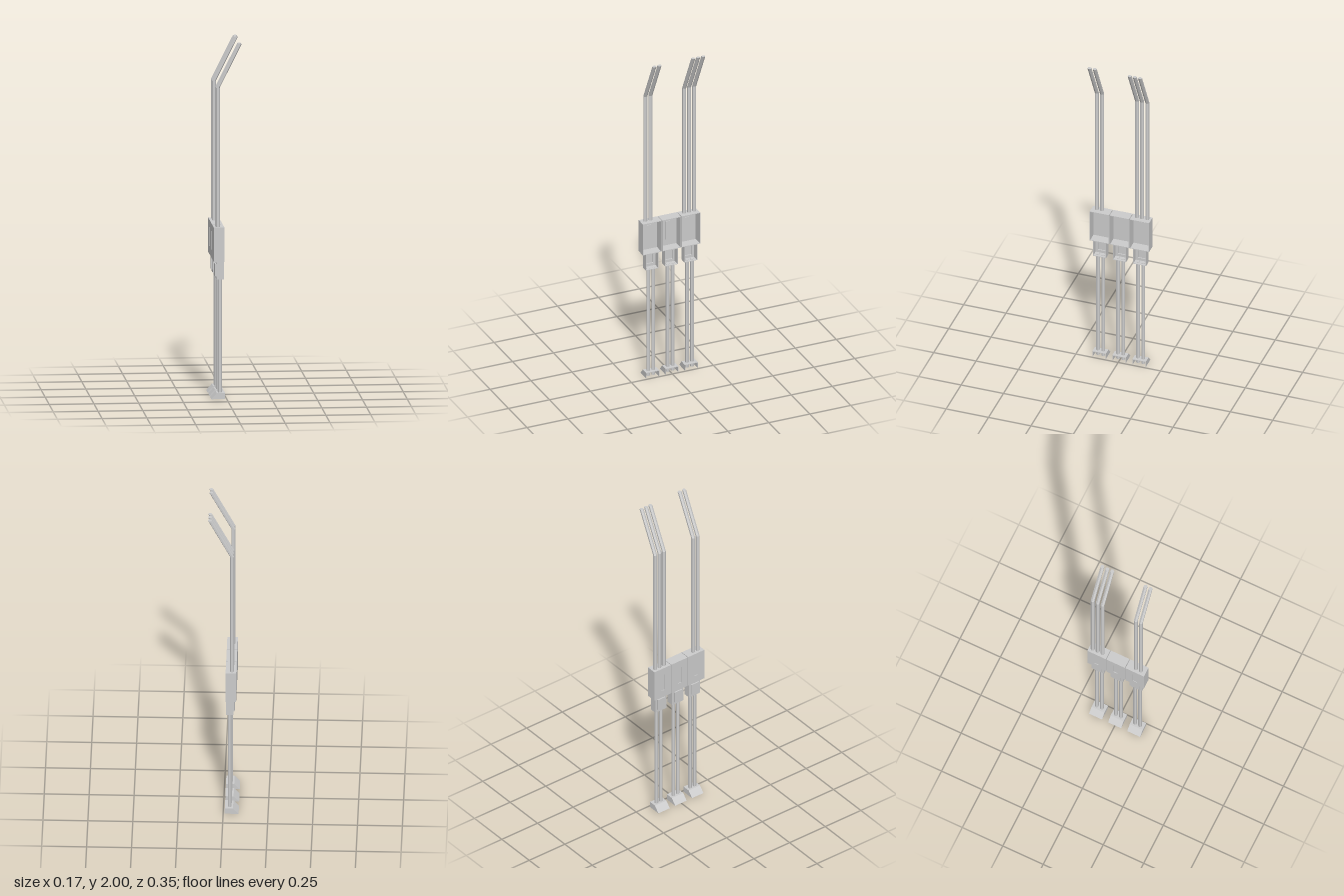
import * as THREE from 'three';

const mat = new THREE.MeshStandardMaterial({ color: 0xcccccc, flatShading: true, side: THREE.DoubleSide });
const T = 0.003; // sheet thickness

function add(parent, name, geo, x = 0, y = 0, z = 0) {
  const m = new THREE.Mesh(geo, mat);
  m.name = name;
  m.position.set(x, y, z);
  parent.add(m);
  return m;
}

function box(parent, name, x0, x1, y0, y1, z0, z1) {
  return add(parent, name, new THREE.BoxGeometry(x1 - x0, y1 - y0, z1 - z0),
    (x0 + x1) / 2, (y0 + y1) / 2, (z0 + z1) / 2);
}

function rect(Type, hw, y0, y1) {
  const s = new Type();
  s.moveTo(-hw, y0);
  s.lineTo(hw, y0);
  s.lineTo(hw, y1);
  s.lineTo(-hw, y1);
  s.closePath();
  return s;
}

// Sheet-metal tray, open towards +x, with an optional window in its back wall
function tray(name, x0, x1, y0, y1, hw, hole) {
  const g = new THREE.Group();
  g.name = name;
  const wall = rect(THREE.Shape, hw, y0, y1);
  if (hole) wall.holes.push(rect(THREE.Path, ...hole));
  const geo = new THREE.ExtrudeGeometry(wall, { depth: T, bevelEnabled: false });
  geo.rotateY(-Math.PI / 2);
  add(g, 'backWall', geo, x0 + T);
  box(g, 'topWall', x0 + T, x1, y1 - T, y1, -hw, hw);
  box(g, 'bottomWall', x0 + T, x1, y0, y0 + T, -hw, hw);
  for (const s of [-1, 1]) {
    const a = s * hw, b = s * (hw - T);
    box(g, 'sideWall', x0 + T, x1, y0 + T, y1 - T, Math.min(a, b), Math.max(a, b));
  }
  return g;
}

function prism(points, depth) {
  const shape = new THREE.Shape(points.map(p => new THREE.Vector2(...p)));
  return new THREE.ExtrudeGeometry(shape, { depth, bevelEnabled: false });
}

// Hollow foot with one sloping side, open below and towards +x
function foot() {
  const g = new THREE.Group();
  g.name = 'foot';
  const hw = 0.04, h = 0.035;
  const side = [[-0.086, 0], [-0.009, 0], [-0.009, h], [-0.055, h]];
  const cover = [[-0.086, 0], [-0.082, 0], [-0.0535, h - T], [-0.009, h - T], [-0.009, h], [-0.055, h]];
  add(g, 'footSide', prism(side, T), 0, 0, -hw);
  add(g, 'footSide', prism(side, T), 0, 0, hw - T);
  add(g, 'footCover', prism(cover, 2 * (hw - T)), 0, 0, -hw + T);
  return g;
}

// Six-sided vertical rod between two heights
function rod(parent, name, x, z, y0, y1, r = 0.0112) {
  const geo = new THREE.CylinderGeometry(r, r, y1 - y0, 6, 1, false, Math.PI / 2);
  add(parent, name, geo, x, (y0 + y1) / 2, z);
}

// Upper rod: three level rings, the top one shifted sideways
function bentRod(parent, z) {
  const geo = new THREE.CylinderGeometry(0.0115, 0.0115, 2, 6, 2, false, Math.PI / 2);
  const p = geo.attributes.position;
  const heights = [0.96, 1.755, 2];
  for (let i = 0; i < p.count; i++) {
    const ring = Math.round(p.getY(i)) + 1;
    p.setY(i, heights[ring]);
    if (ring === 2) p.setX(i, p.getX(i) + 0.123);
  }
  geo.computeVertexNormals();
  add(parent, 'upperRod', geo, -0.049, 0, z);
}

export function createModel() {
  const model = new THREE.Group();
  model.name = 'conduitStand';

  // Three units side by side
  for (const z of [0.116, -0.002, -0.12]) {
    const unit = new THREE.Group();
    unit.name = 'unit';
    unit.position.z = z;
    model.add(unit);

    // Main housing with a shallow slot in its back
    unit.add(tray('housing', -0.073, -0.014, 0.775, 0.97, 0.057, [0.013, 0.82, 0.925]));
    box(unit, 'slotFloor', -0.07, -0.067, 0.817, 0.928, -0.015, 0.015);

    // Lower bracket with a pocket standing out of its back
    unit.add(tray('bracket', -0.057, -0.015, 0.675, 0.775, 0.039, [0.023, 0.694, 0.756]));
    unit.add(tray('bracketPocket', -0.064, -0.054, 0.691, 0.759, 0.026));

    // Pair of lower rods and the foot
    for (const s of [-1, 1]) rod(unit, 'lowerRod', -0.036, s * 0.0155, 0.004, 0.68, 0.0105);
    unit.add(foot());
  }

  // Bent upper rods on the two outer housings
  for (const z of [0.143, 0.112, -0.094, -0.124, -0.155]) bentRod(model, z);

  return model;
}
